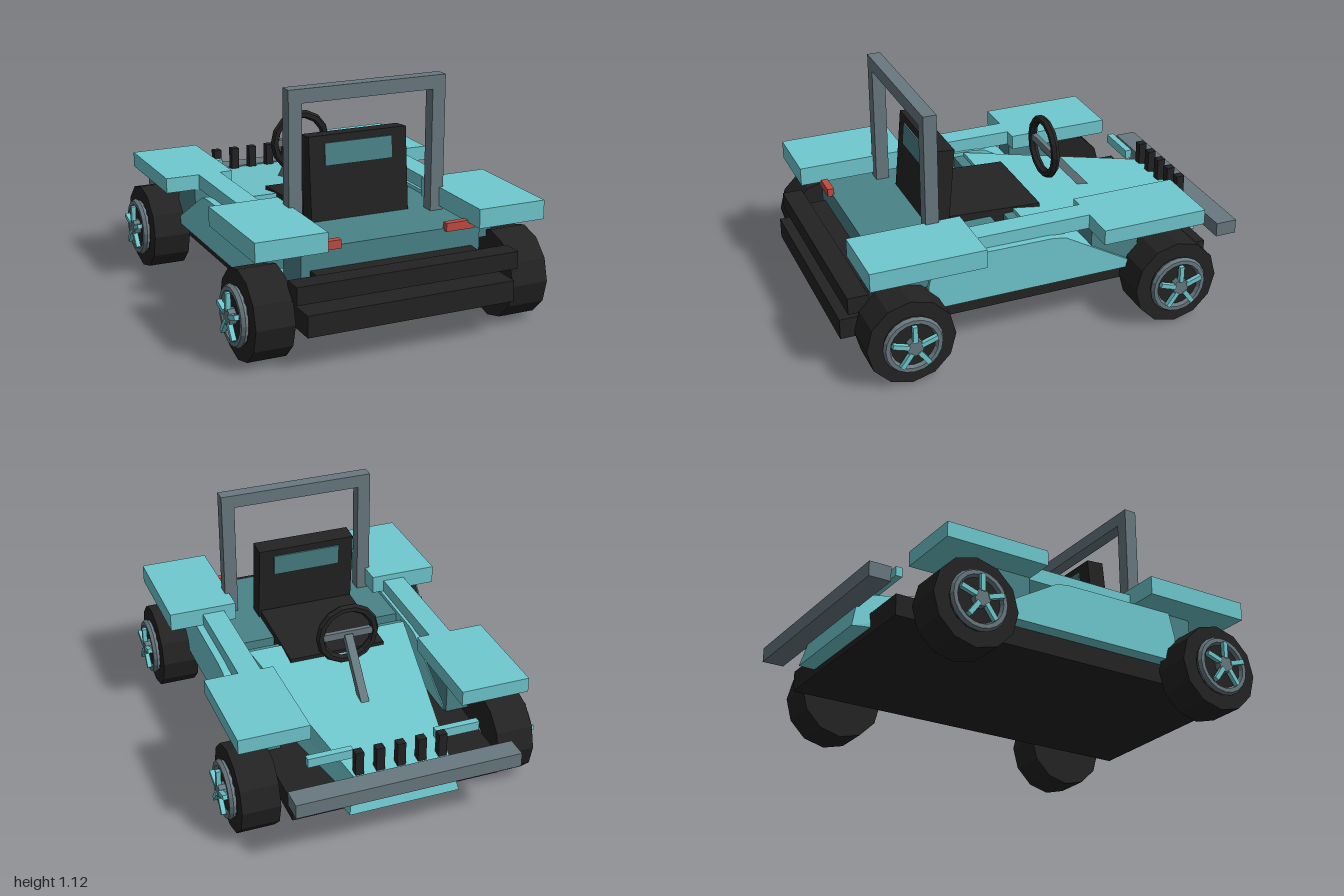
import * as THREE from 'three';

const paint = (name, color) => {
  const m = new THREE.MeshStandardMaterial({ color });
  m.name = name;
  return m;
};

export function createModel() {
  const car = new THREE.Group();
  car.name = 'buggy';
  const teal = paint('teal', 0x6fc9cf);
  const darkTeal = paint('darkTeal', 0x4a8388);
  const black = paint('black', 0x232323);
  const grey = paint('grey', 0x687980);
  const red = paint('red', 0xc04c42);

  // Faceted mesh with one normal per face
  function add(name, geometry, material, parent = car) {
    const g = geometry.index ? geometry.toNonIndexed() : geometry;
    g.computeVertexNormals();
    const mesh = new THREE.Mesh(g, material);
    mesh.name = name;
    parent.add(mesh);
    return mesh;
  }
  // Box given by its limits on each axis
  function box(name, [x0, x1], [y0, y1], [z0, z1], material, parent) {
    const mesh = add(name, new THREE.BoxGeometry(x1 - x0, y1 - y0, z1 - z0), material, parent);
    mesh.position.set((x0 + x1) / 2, (y0 + y1) / 2, (z0 + z1) / 2);
    return mesh;
  }
  // The same box on both sides
  function pair(name, [x0, x1], y, z, material) {
    box(name + 'Left', [x0, x1], y, z, material);
    box(name + 'Right', [-x1, -x0], y, z, material);
  }

  // Chassis, deck and dashboard
  box('chassis', [-0.505, 0.505], [0.165, 0.265], [-0.85, 1], black);
  box('rearDeck', [-0.443, 0.443], [0.265, 0.48], [0.165, 0.79], darkTeal);
  box('dashboard', [-0.41, 0.41], [0.265, 0.48], [0.04, 0.1], darkTeal);

  // Tapered hood: a box whose corners move to the wedge
  const hood = new THREE.BoxGeometry(2, 2, 2);
  const p = hood.attributes.position;
  for (let i = 0; i < p.count; i++) {
    const side = p.getX(i), top = p.getY(i) > 0, front = p.getZ(i) < 0;
    if (front) p.setXYZ(i, side * (top ? 0.23 : 0.265), top ? 0.36 : 0.19, top ? -0.89 : -0.935);
    else p.setXYZ(i, side * (top ? 0.405 : 0.42), top ? 0.5 : 0.25, 0.05);
  }
  add('hood', hood, teal);

  // Side pods: a side profile in (z, y) given width along x
  const profile = [[0.6, 0.26], [0.6, 0.38], [0.57, 0.5], [0.0, 0.497], [-0.07, 0.487], [-0.42, 0.285], [-0.42, 0.26]];
  const podShape = new THREE.Shape(profile.map(([z, y]) => new THREE.Vector2(-z, y)));
  for (const s of [1, -1]) {
    const pod = add('sidePod', new THREE.ExtrudeGeometry(podShape, { depth: 0.16, bevelEnabled: false }), teal);
    pod.rotation.y = Math.PI / 2;
    pod.position.x = s > 0 ? 0.415 : -0.575;
  }
  pair('sideRail', [0.43, 0.54], [0.49, 0.56], [-0.21, 0.37], teal);

  // Fenders and their supports
  pair('frontFender', [0.368, 0.705], [0.487, 0.56], [-0.72, -0.205], teal);
  pair('rearFender', [0.37, 0.705], [0.5, 0.59], [0.37, 0.912], teal);
  pair('frontFenderSupport', [0.42, 0.56], [0.27, 0.49], [-0.45, -0.21], darkTeal);
  pair('rearFenderSupport', [0.485, 0.56], [0.375, 0.505], [0.52, 0.7], darkTeal);

  // Bumpers, lamps and grille pegs
  box('frontBumper', [-0.54, 0.54], [0.295, 0.365], [-1, -0.895], grey);
  box('rearBumper', [-0.54, 0.54], [0.305, 0.387], [0.87, 0.968], black);
  box('rearBumperMount', [-0.4, 0.4], [0.31, 0.38], [0.78, 0.88], black);
  pair('tailLight', [0.26, 0.405], [0.47, 0.51], [0.78, 0.812], red);
  pair('frontLamp', [0.2, 0.415], [0.4, 0.445], [-0.808, -0.775], teal);
  for (let i = -2; i <= 2; i++)
    box('grillePeg', [i * 0.1 - 0.02, i * 0.1 + 0.02], [0.34, 0.477], [-0.885, -0.845], black);

  // Roll bar
  pair('rollBarPost', [0.325, 0.39], [0.47, 1.06], [0.478, 0.542], grey);
  box('rollBarTop', [-0.39, 0.39], [1.06, 1.125], [0.478, 0.542], grey);

  // Seat
  const cushion = box('seatCushion', [-0.24, 0.24], [0.37, 0.51], [-0.085, 0.37], black);
  cushion.rotation.x = -0.05;
  const seatBack = new THREE.Group();
  seatBack.name = 'seatBack';
  seatBack.position.set(0, 0.47, 0.425);
  seatBack.rotation.x = -0.09;
  car.add(seatBack);
  box('backrest', [-0.246, 0.246], [-0.04, 0.4], [-0.046, 0.046], black, seatBack);
  box('headPanel', [-0.17, 0.17], [0.26, 0.365], [-0.053, 0.053], darkTeal, seatBack);

  // Steering wheel and column
  const rim = add('steeringWheel', new THREE.TorusGeometry(0.137, 0.021, 6, 14), black);
  rim.position.set(0, 0.667, -0.215);
  box('steeringBar', [-0.13, 0.13], [0.65, 0.685], [-0.228, -0.205], grey);
  const a = new THREE.Vector3(0, 0.66, -0.22), b = new THREE.Vector3(0, 0.39, -0.455);
  const column = add('steeringColumn', new THREE.BoxGeometry(0.04, 0.04, a.distanceTo(b)), grey);
  column.position.copy(a).lerp(b, 0.5);
  column.lookAt(b);

  // Wheels, built along +x and turned round for the other side
  const disc = (name, r, x0, x1, sides, material, parent) => {
    const g = new THREE.CylinderGeometry(r, r, x1 - x0, sides).rotateZ(-Math.PI / 2);
    add(name, g, material, parent).position.x = (x0 + x1) / 2;
  };
  for (const z of [-0.58, 0.735]) {
    for (const s of [1, -1]) {
      const wheel = new THREE.Group();
      wheel.name = 'wheel';
      wheel.position.set(0, 0.209, z);
      if (s < 0) wheel.rotation.y = Math.PI;
      car.add(wheel);
      disc('tyre', 0.209, 0.535, 0.717, 12, black, wheel);
      disc('wheelDisc', 0.135, 0.717, 0.735, 16, black, wheel);
      const ring = add('wheelRing', new THREE.TorusGeometry(0.123, 0.019, 6, 20).rotateY(Math.PI / 2), grey, wheel);
      ring.position.x = 0.735;
      disc('hub', 0.04, 0.72, 0.768, 10, grey, wheel);
      for (let i = 0; i < 5; i++) {
        const spoke = add('spoke', new THREE.BoxGeometry(0.022, 0.08, 0.022).translate(0, 0.07, 0), teal, wheel);
        spoke.position.x = 0.762;
        spoke.rotation.x = (i * Math.PI * 2) / 5;
      }
    }
    const axle = add('axle', new THREE.CylinderGeometry(0.028, 0.028, 1.1, 8).rotateZ(Math.PI / 2), grey);
    axle.position.set(0, 0.21, z);
  }
  return car;
}
